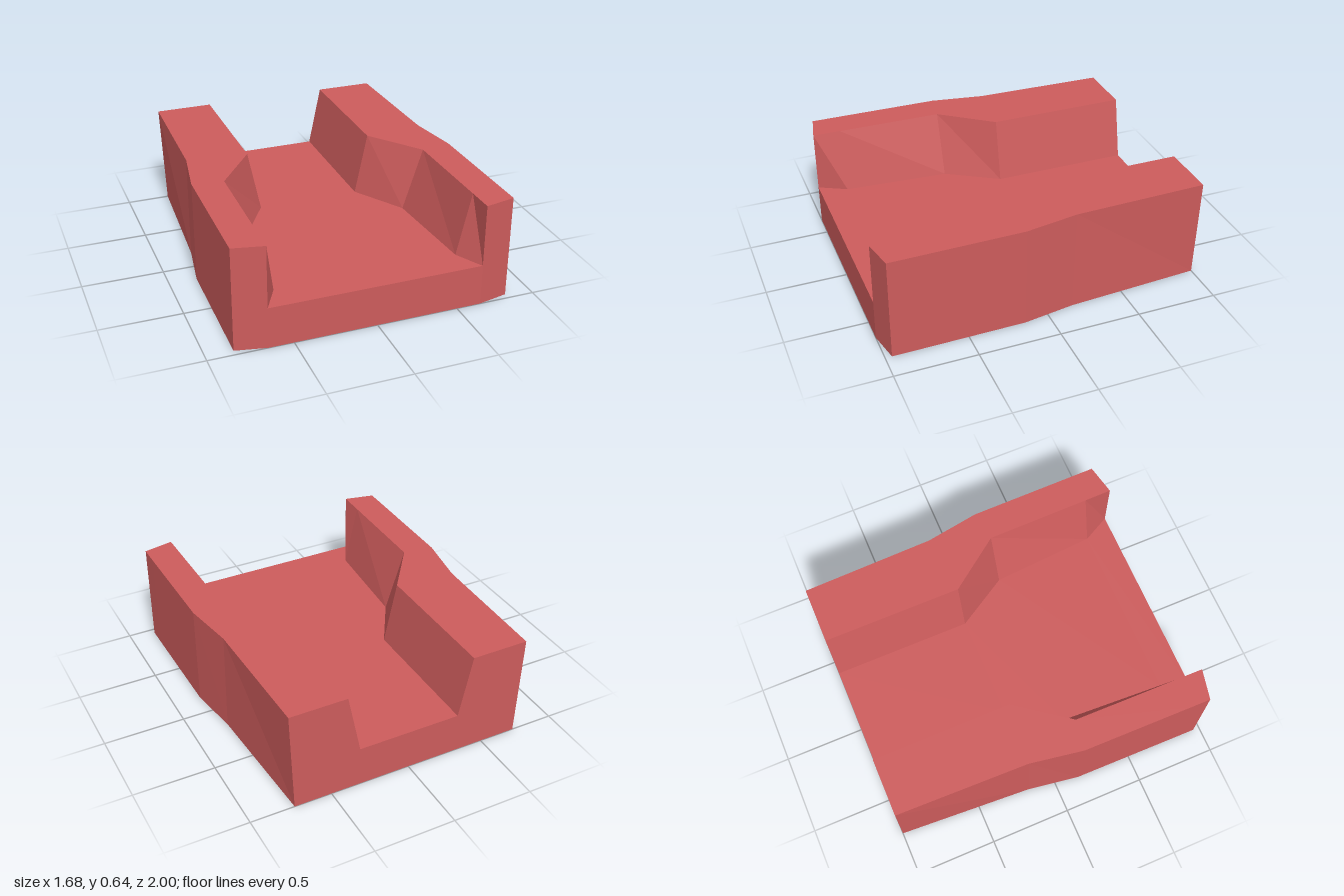
import * as THREE from 'three';

const TOP = 0.64, FLOOR = 0.255;

// Stations from back to front; each pair is [x, z] on the +x half.
const stations = [
  { outerLow: [0.73, -1], outerTop: [0.755, -1], innerTop: [0.4, -1], floor: [0.32, -1] },
  { outerLow: [0.78, -0.17], outerTop: [0.775, -0.18], innerTop: [0.4, -0.14], floor: [0.32, -0.14] },
  { outerLow: [0.83, 0.15], outerTop: [0.83, 0.15], innerTop: [0.64, 0.18], floor: [0.515, 0.18] },
  { outerLow: [0.837, 0.83], outerTop: [0.837, 0.83], innerTop: [0.648, 0.83], floor: [0.56, 0.83] },
  { outerLow: [0.838, 0.96], outerTop: [0.838, 0.96], innerTop: [0.65, 1], floor: [0.65, 1] },
];

// Closed U-shaped ring, counter-clockwise seen from the front.
function ring({ outerLow, outerTop, innerTop, floor }) {
  const at = ([x, z], y) => [x, y, z];
  const half = [at(floor, 0), at(outerLow, 0), at(outerTop, TOP), at(innerTop, TOP), at(floor, FLOOR)];
  return [...half, ...half.map(([x, y, z]) => [-x, y, z]).reverse()];
}

function channelGeometry() {
  const rings = stations.map(ring);
  const n = rings[0].length;
  const pos = [];
  const tri = (a, b, c) => pos.push(...a, ...b, ...c);

  // Skin between neighbouring stations
  for (let s = 0; s < rings.length - 1; s++) {
    const a = rings[s], b = rings[s + 1];
    for (let i = 0; i < n; i++) {
      const j = (i + 1) % n;
      tri(a[i], a[j], b[j]);
      tri(a[i], b[j], b[i]);
    }
  }

  // End caps: two walls and the web between them
  const capFaces = [[1, 2, 3], [1, 3, 4], [1, 4, 0], [8, 6, 7], [8, 5, 6], [8, 9, 5], [0, 4, 5], [0, 5, 9]];
  const back = rings[0], front = rings[rings.length - 1];
  for (const [i, j, k] of capFaces) {
    tri(front[i], front[j], front[k]);
    tri(back[i], back[k], back[j]);
  }

  const geo = new THREE.BufferGeometry();
  geo.setAttribute('position', new THREE.Float32BufferAttribute(pos, 3));
  geo.computeVertexNormals();
  return geo;
}

export function createModel() {
  const group = new THREE.Group();
  group.name = 'flaredChannel';
  const material = new THREE.MeshStandardMaterial({ color: 0xcd5c5c, flatShading: true });
  const body = new THREE.Mesh(channelGeometry(), material);
  body.name = 'channelBody';
  group.add(body);
  return group;
}
